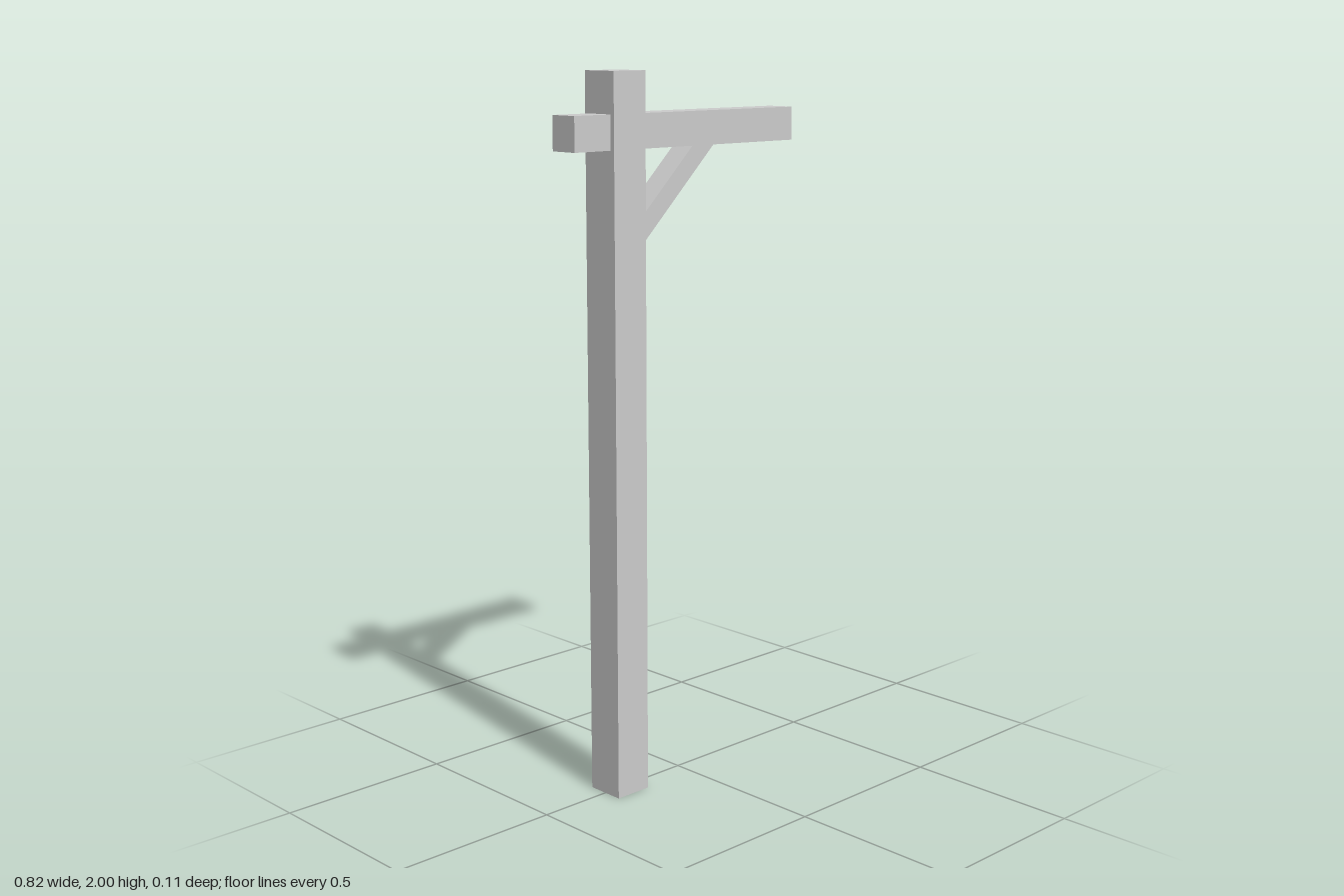
import * as THREE from 'three';

const material = new THREE.MeshStandardMaterial({ color: 0xcccccc, flatShading: true });

function timber(name, width, height, depth, x, y) {
  const mesh = new THREE.Mesh(new THREE.BoxGeometry(width, height, depth), material);
  mesh.name = name;
  mesh.position.set(x, y, 0);
  return mesh;
}

export function createModel() {
  const group = new THREE.Group();
  group.name = 'signPost';

  // Square upright and the crossbeam passing through it
  const postX = -0.228, postWidth = 0.112;
  const beamBottom = 1.796, beamHeight = 0.093;
  group.add(timber('post', postWidth, 2, postWidth, postX, 1));
  group.add(timber('crossbeam', 0.816, beamHeight, 0.086, 0, beamBottom + beamHeight / 2));

  // Diagonal brace, mitred flush against the post and the beam
  const face = postX + postWidth / 2;
  const braceDepth = 0.074;
  const profile = new THREE.Shape([
    new THREE.Vector2(face, 1.536),
    new THREE.Vector2(0.1, beamBottom),
    new THREE.Vector2(0.02, beamBottom),
    new THREE.Vector2(face, 1.612),
  ]);
  const brace = new THREE.Mesh(
    new THREE.ExtrudeGeometry(profile, { depth: braceDepth, bevelEnabled: false }), material);
  brace.name = 'brace';
  brace.position.z = -braceDepth / 2;
  group.add(brace);

  return group;
}
